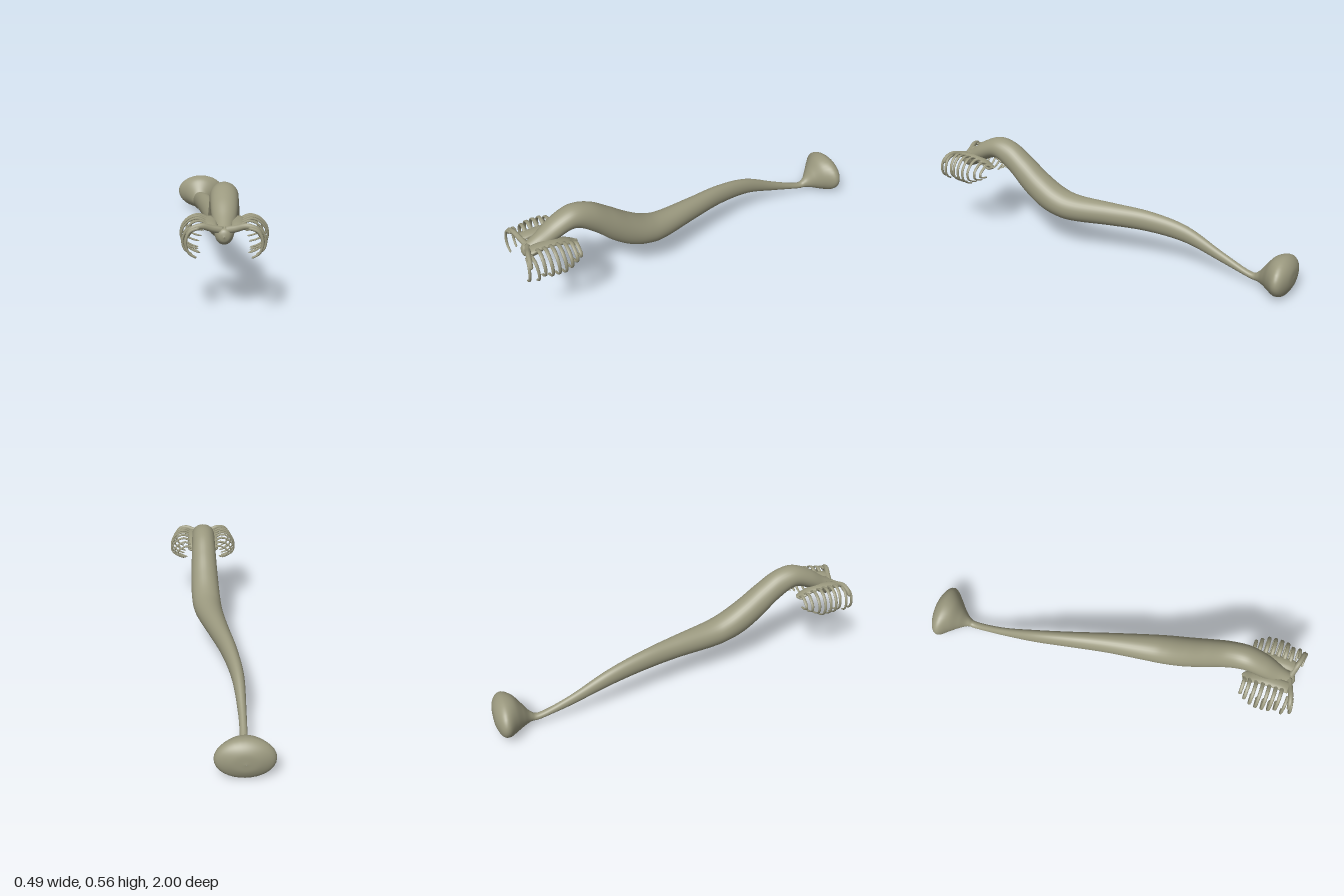
import * as THREE from 'three';

const skin = new THREE.MeshStandardMaterial({ color: 0x9b997f });
skin.name = 'olive grey skin';
const V = (x, y, z) => new THREE.Vector3(x, y, z);
const MID = 0.047; // x of the head's own centre line

// Closed skin through elliptical rings: each ring has a centre p and two half axes u, v
function loft(rings, sides) {
  const pos = [], idx = [];
  for (const { p, u, v } of rings)
    for (let j = 0; j < sides; j++) {
      const a = (j / sides) * Math.PI * 2;
      const q = p.clone().addScaledVector(u, Math.cos(a)).addScaledVector(v, Math.sin(a));
      pos.push(q.x, q.y, q.z);
    }
  for (let i = 0; i < rings.length - 1; i++)
    for (let j = 0; j < sides; j++) {
      const a = i * sides + j, b = i * sides + ((j + 1) % sides);
      idx.push(a, b, a + sides, b, b + sides, a + sides);
    }
  const g = new THREE.BufferGeometry();
  g.setAttribute('position', new THREE.Float32BufferAttribute(pos, 3));
  g.setIndex(idx);
  g.computeVertexNormals();
  return g;
}

function add(group, name, geometry) {
  const m = new THREE.Mesh(geometry, skin);
  m.name = name;
  group.add(m);
}

// Upright sections [z, left x, right x, bottom y, top y] blended along z
function sectionLoft(rows, steps, sides) {
  const mid = new THREE.CatmullRomCurve3(rows.map(([z, l, r, b, t]) => V((l + r) / 2, (b + t) / 2, z)), false, 'catmullrom');
  const half = new THREE.CatmullRomCurve3(rows.map(([, l, r, b, t]) => V((r - l) / 2, (t - b) / 2, 0)), false, 'catmullrom');
  const rings = [];
  for (let i = 0; i <= steps; i++) {
    const h = half.getPoint(i / steps);
    rings.push({
      p: mid.getPoint(i / steps),
      u: V(Math.max(h.x, 0.0005), 0, 0),
      v: V(0, Math.max(h.y, 0.0005), 0),
    });
  }
  return loft(rings, sides);
}

// Flattened tapering strand: thick is across the curve, wide is along z
function strand(points, thick, wide, taper) {
  const c = new THREE.CatmullRomCurve3(points);
  const rings = [], n = 28;
  for (let i = 0; i <= n; i++) {
    const t = i / n;
    const tan = c.getTangent(t);
    const u = V(-tan.y, tan.x, 0).normalize();
    const k = i === 0 || i === n ? 0.02 : 1 - (1 - taper) * t;
    rings.push({ p: c.getPoint(t), u: u.multiplyScalar(thick * k), v: V(0, 0, wide * k) });
  }
  return loft(rings, 8);
}

export function createModel() {
  const model = new THREE.Group();

  // Tail bulb, neck, trunk and head in one skin
  add(model, 'body', sectionLoft([
    [-1.0, -0.106, -0.104, 0.104, 0.106],
    [-0.994, -0.175, -0.035, 0.055, 0.155],
    [-0.97, -0.234, 0.024, 0.012, 0.19],
    [-0.935, -0.245, 0.035, 0.001, 0.205],
    [-0.89, -0.205, -0.005, 0.008, 0.19],
    [-0.85, -0.165, -0.05, 0.02, 0.14],
    [-0.81, -0.133, -0.083, 0.03, 0.085],
    [-0.76, -0.13, -0.092, 0.036, 0.07],
    [-0.6, -0.133, -0.092, 0.08, 0.135],
    [-0.4, -0.133, -0.07, 0.142, 0.232],
    [-0.2, -0.108, -0.025, 0.17, 0.28],
    [0, -0.075, 0.035, 0.175, 0.298],
    [0.2, -0.05, 0.095, 0.17, 0.312],
    [0.3, -0.042, 0.115, 0.18, 0.34],
    [0.4, -0.035, 0.12, 0.212, 0.4],
    [0.5, -0.028, 0.118, 0.28, 0.475],
    [0.6, -0.022, 0.113, 0.375, 0.54],
    [0.7, -0.018, 0.11, 0.44, 0.558],
    [0.8, -0.012, 0.106, 0.41, 0.52],
    [0.88, 0.0, 0.094, 0.362, 0.465],
    [0.93, 0.008, 0.086, 0.35, 0.435],
    [0.96, 0.022, 0.072, 0.365, 0.42],
    [0.97, 0.046, 0.048, 0.39, 0.392],
  ], 176, 32));

  // Half profile of a gill rib: distance from the centre line, height
  const arc = [[0.04, 0.43], [0.075, 0.435], [0.115, 0.45], [0.155, 0.437],
    [0.187, 0.395], [0.184, 0.345], [0.15, 0.315], [0.11, 0.3]];
  // Ribs, back to front: z, reach, drop, height offset
  const ribs = [[0.725, 0.74, 0.35, -0.035], [0.752, 0.86, 0.6, -0.02], [0.785, 0.97, 0.8, -0.008],
    [0.818, 1, 1, 0], [0.851, 1, 1, 0.002], [0.884, 0.97, 1, 0.002], [0.915, 0.88, 0.95, 0]];

  for (const s of [1, -1]) {
    const gill = new THREE.Group();
    gill.name = s > 0 ? 'leftGill' : 'rightGill';
    model.add(gill);

    ribs.forEach(([z, reach, drop, lift]) => add(gill, 'gillRib', strand(
      arc.map(([d, y]) => V(MID + s * (0.04 + (d - 0.04) * reach), 0.43 + (y - 0.43) * (y < 0.43 ? drop : 1) + lift, z)),
      0.006, 0.011, 0.6)));

    // Web that joins the ribs to the head
    const a = MID + s * 0.03, b = MID + s * 0.088;
    const l = Math.min(a, b), r = Math.max(a, b);
    add(gill, 'gillWeb', sectionLoft([
      [0.705, MID + s * 0.055 - 0.004, MID + s * 0.055 + 0.004, 0.392, 0.4],
      [0.725, l, r, 0.385, 0.407],
      [0.76, l, r, 0.403, 0.427],
      [0.82, l, r, 0.42, 0.445],
      [0.9, l, r, 0.422, 0.446],
      [0.945, l, r, 0.415, 0.438],
      [0.96, MID + s * 0.05 - 0.004, MID + s * 0.05 + 0.004, 0.42, 0.426],
    ], 36, 14));

    // Front arm and its two curling tines
    const at = (d, y, z) => V(MID + s * d, y, z);
    add(gill, 'frontArm', strand([at(0, 0.412, 0.935), at(0.05, 0.426, 0.95), at(0.095, 0.44, 0.964),
      at(0.135, 0.43, 0.973), at(0.158, 0.4, 0.978)], 0.018, 0.018, 0.55));
    add(gill, 'frontTine', strand([at(0.1, 0.437, 0.975), at(0.145, 0.42, 0.984), at(0.162, 0.375, 0.99),
      at(0.148, 0.33, 0.991), at(0.115, 0.308, 0.99)], 0.008, 0.009, 0.6));
    add(gill, 'frontTine', strand([at(0.1, 0.437, 0.955), at(0.15, 0.425, 0.952), at(0.176, 0.38, 0.95),
      at(0.168, 0.335, 0.95), at(0.135, 0.312, 0.952)], 0.007, 0.009, 0.6));
  }
  return model;
}
